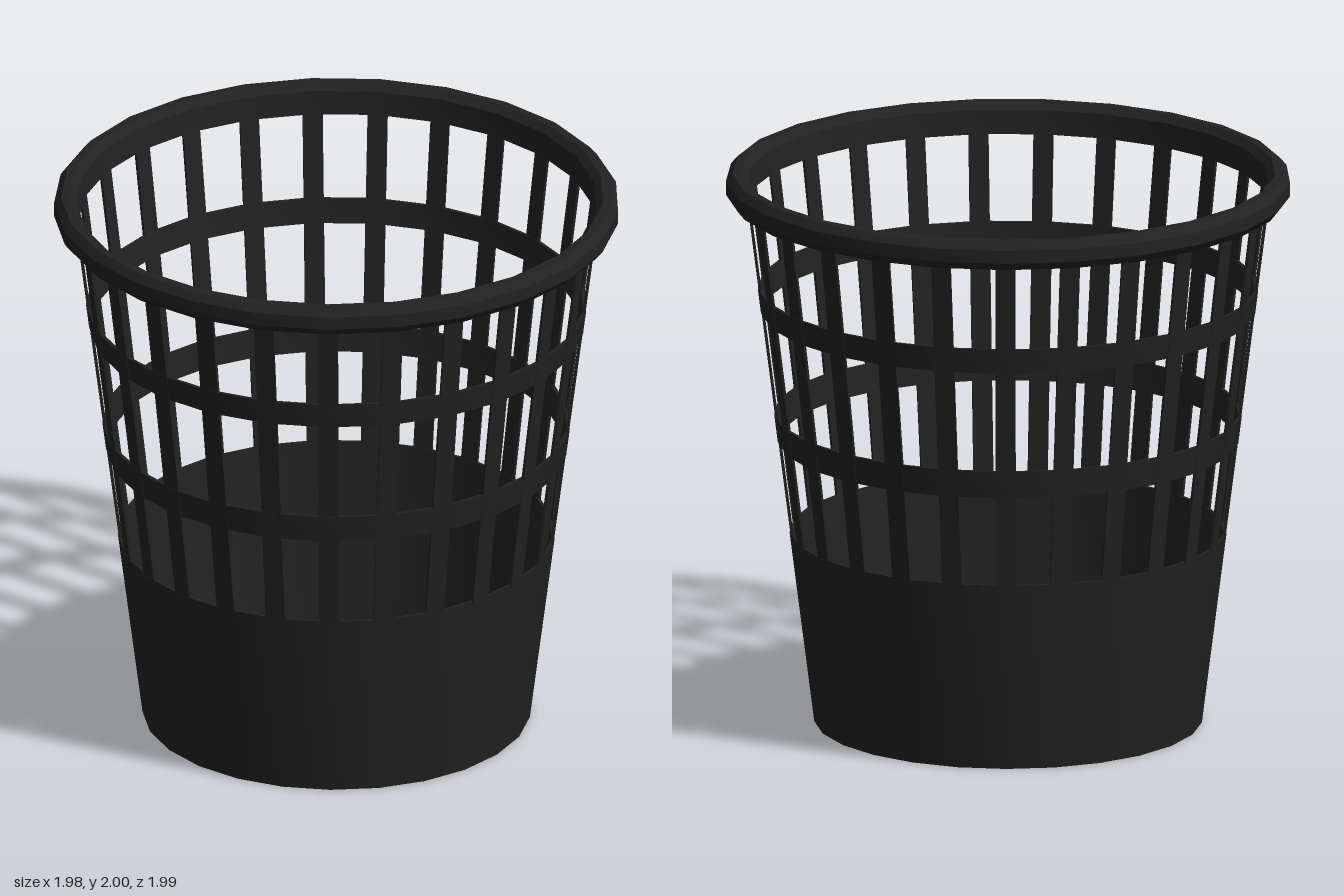
import * as THREE from 'three';
import { toCreasedNormals } from 'three/addons/utils/BufferGeometryUtils.js';

const SIDES = 25;
const SLOPE = 0.126;
const WALL = 0.012;
const radiusAt = (y) => 0.684 + SLOPE * y;

export function createModel() {
  const model = new THREE.Group();
  model.name = 'wasteBasket';
  const material = new THREE.MeshStandardMaterial({ color: 0x222222 });

  // Revolves a counterclockwise (radius, y) profile, with a corner on +x
  function addRing(name, profile) {
    const points = profile.map(([r, y]) => new THREE.Vector2(r, y));
    const lathe = new THREE.LatheGeometry(points, SIDES, Math.PI / 2);
    const mesh = new THREE.Mesh(toCreasedNormals(lathe, Math.PI / 6), material);
    mesh.name = name;
    model.add(mesh);
  }

  // Solid lower bucket with floor
  const bucketTop = 0.69;
  addRing('bucket', [
    [0, 0], [radiusAt(0), 0], [radiusAt(bucketTop), bucketTop],
    [radiusAt(bucketTop) - WALL, bucketTop], [radiusAt(0) - WALL, WALL], [0, WALL],
  ]);

  // Two horizontal bands around the slats
  for (const [name, y0, y1] of [['lowerBand', 1.02, 1.12], ['upperBand', 1.49, 1.58]]) {
    addRing(name, [
      [radiusAt(y0), y0], [radiusAt(y1), y1],
      [radiusAt(y1) - WALL, y1], [radiusAt(y0) - WALL, y0], [radiusAt(y0), y0],
    ]);
  }

  // Thick chamfered rim
  addRing('rim', [
    [0.935, 1.888], [0.972, 1.896], [0.996, 1.925], [0.996, 1.972], [0.972, 2],
    [0.942, 2], [0.918, 1.975], [0.912, 1.888], [0.935, 1.888],
  ]);

  // Leaning vertical slats, one at each corner of the wall
  const y0 = bucketTop - 0.01, y1 = 1.91, mid = (y0 + y1) / 2;
  const tilt = Math.atan(SLOPE);
  const slatGeometry = new THREE.BoxGeometry(0.009, (y1 - y0) / Math.cos(tilt), 0.071);
  slatGeometry.rotateZ(-tilt).translate(radiusAt(mid) - 0.0075, mid, 0);
  const slats = new THREE.Group();
  slats.name = 'slats';
  for (let i = 0; i < SIDES; i++) {
    const slat = new THREE.Mesh(slatGeometry, material);
    slat.name = 'slat';
    slat.rotation.y = (i / SIDES) * Math.PI * 2;
    slats.add(slat);
  }
  model.add(slats);

  // Odd side count makes the outline lopsided, so centre it
  model.position.x = -0.004;
  return model;
}
